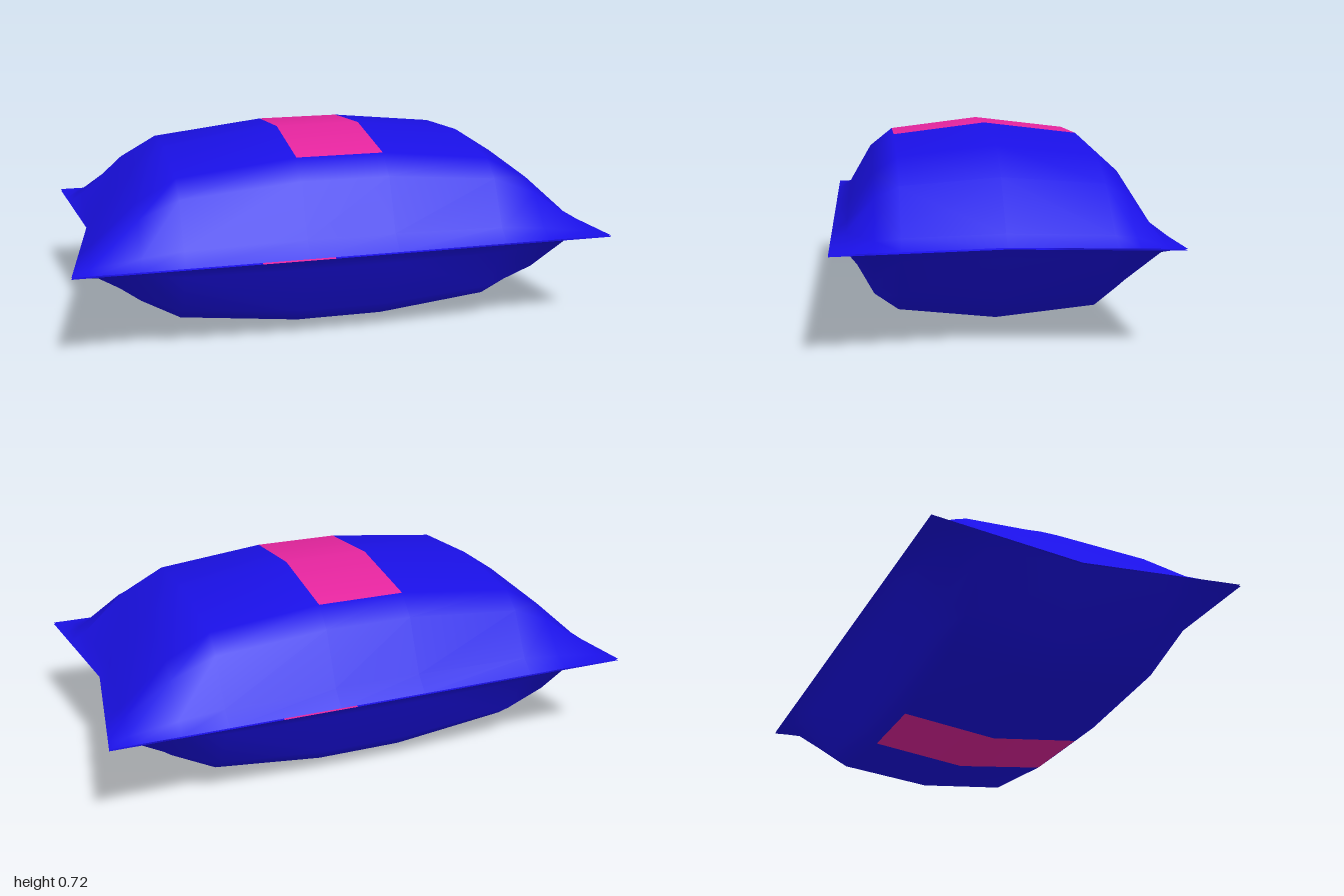
import * as THREE from 'three';

// Grid lines of the cushion, with the height of the bulge along each axis
const COLS = [[-1, 0], [-0.89, 0.04], [-0.74, 0.21], [-0.61, 0.3], [-0.165, 0.358],
  [0.165, 0.358], [0.58, 0.307], [0.73, 0.21], [0.88, 0.04], [1, 0]];
const ROWS = [[-0.58, 0], [-0.525, 0.054], [-0.433, 0.246], [-0.358, 0.315], [0, 0.358],
  [0.348, 0.315], [0.433, 0.246], [0.525, 0.054], [0.58, 0]];
// How far the outer columns flare out toward the corners
const FLARE = [0.08, 0.05, 0.02];
const FULL = 0.358, MIDDLE = 0.3625, GAP = 0.003;

function halfGeometry(side) {
  const positions = [];
  for (const [z, hz] of ROWS) {
    COLS.forEach(([x, hx], i) => {
      const ring = Math.min(i, COLS.length - 1 - i);
      const base = ring === 0 ? Math.sign(x) * 0.92 : x;
      const flare = (FLARE[ring] ?? 0) * Math.abs(z) / 0.58;
      positions.push(base + Math.sign(x) * flare,
        MIDDLE + side * (GAP + hx * hz / FULL), z);
    });
  }
  // Faces of the band in the middle are kept apart from the rest
  const fabric = [], band = [], n = COLS.length;
  for (let j = 0; j < ROWS.length - 1; j++) {
    for (let i = 0; i < n - 1; i++) {
      const a = j * n + i, b = a + 1, c = a + n, d = c + 1;
      const list = i === 4 && (j === 3 || j === 4) ? band : fabric;
      if (side > 0) list.push(a, c, b, b, c, d);
      else list.push(a, b, c, b, d, c);
    }
  }
  const whole = new THREE.BufferGeometry();
  whole.setAttribute('position', new THREE.Float32BufferAttribute(positions, 3));
  whole.setIndex([...fabric, ...band]);
  whole.computeVertexNormals();
  return [fabric, band].map((index) => {
    const g = whole.clone();
    g.setIndex(index);
    return g.toNonIndexed();
  });
}

export function createModel() {
  const model = new THREE.Group();
  model.name = 'cushion';
  const blue = new THREE.MeshStandardMaterial({ color: 0x1a10e6, side: THREE.DoubleSide });
  const pink = new THREE.MeshStandardMaterial({ color: 0xe6259f, side: THREE.DoubleSide });

  // Upper and lower shells, each with its coloured band
  for (const [name, side] of [['upper', 1], ['lower', -1]]) {
    const [fabric, band] = halfGeometry(side);
    const shell = new THREE.Mesh(fabric, blue);
    shell.name = name + 'Shell';
    const stripe = new THREE.Mesh(band, pink);
    stripe.name = name + 'Band';
    model.add(shell, stripe);
  }
  return model;
}
